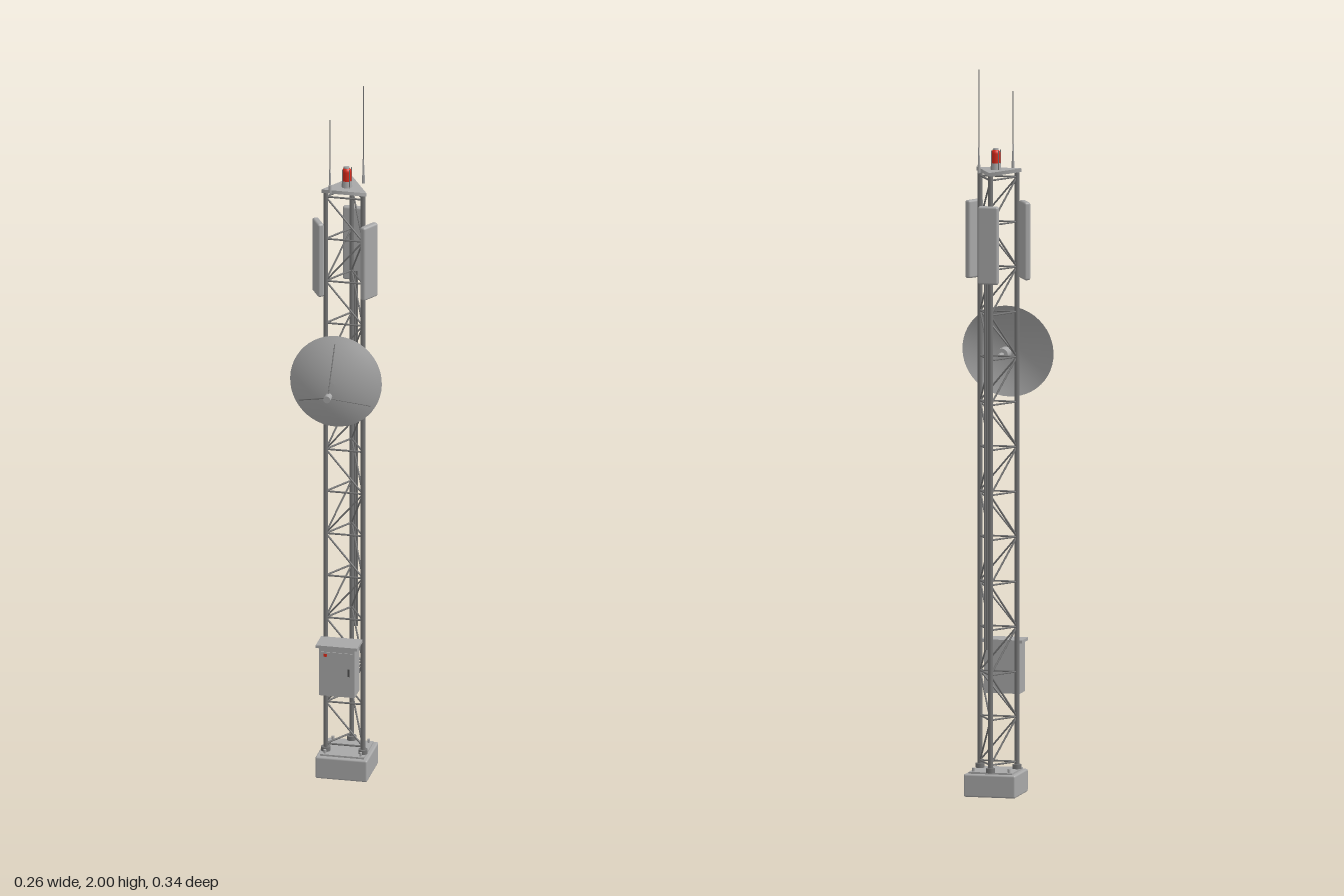
import * as THREE from 'three';
import { RoundedBoxGeometry } from 'three/addons/geometries/RoundedBoxGeometry.js';

const mat = (name, color) => Object.assign(new THREE.MeshStandardMaterial({ color }), { name });

export function createModel() {
  const model = new THREE.Group();
  model.name = 'latticeTower';
  const steel = mat('steel', 0x767676);
  const plate = mat('lightGrey', 0xa8a8a8);
  const dark = mat('darkGrey', 0x505050);
  const red = mat('beaconRed', 0xd82a1a);
  const dishGrey = mat('dishGrey', 0xa6a6a6);
  dishGrey.side = THREE.DoubleSide;

  const V = (x, y, z) => new THREE.Vector3(x, y, z);
  const AXIS_Z = -0.08;

  function add(name, geo, material, x = 0, y = 0, z = 0, parent = model) {
    const m = new THREE.Mesh(geo, material);
    m.name = name;
    m.position.set(x, y, z);
    parent.add(m);
    return m;
  }
  // Round bar between two points
  function bar(name, a, b, r, material, sides = 6, rTop = r) {
    const d = b.clone().sub(a);
    const mid = a.clone().add(b).multiplyScalar(0.5);
    const m = add(name, new THREE.CylinderGeometry(rTop, r, d.length(), sides), material, mid.x, mid.y, mid.z);
    m.quaternion.setFromUnitVectors(V(0, 1, 0), d.normalize());
    return m;
  }
  const box = (w, h, d) => new THREE.BoxGeometry(w, h, d);
  const round = (w, h, d, r) => new RoundedBoxGeometry(w, h, d, 2, r);

  // Foundation block with base plate and anchor bolts
  add('foundation', round(0.145, 0.063, 0.145, 0.005), plate, 0, 0.0315, AXIS_Z);
  add('basePlate', box(0.122, 0.006, 0.122), plate, 0, 0.065, AXIS_Z);
  for (const sx of [-1, 1]) for (const sz of [-1, 1])
    add('anchorBolt', new THREE.CylinderGeometry(0.004, 0.004, 0.012, 8), plate, sx * 0.05, 0.072, AXIS_Z + sz * 0.05);

  // Three legs on a triangle: left, right, back
  const legs = [30, 150, 270].map(a => {
    const t = THREE.MathUtils.degToRad(a);
    return [0.06 * Math.cos(t), AXIS_Z + 0.06 * Math.sin(t)];
  });
  const at = (i, y) => V(legs[i % 3][0], y, legs[i % 3][1]);
  for (let i = 0; i < 3; i++) {
    bar('leg', at(i, 0.066), at(i, 1.715), 0.0065, steel, 12);
    bar('legFoot', at(i, 0.068), at(i, 0.08), 0.013, steel, 12);
  }

  // Lattice of horizontals and zigzag diagonals on each face
  const bays = 13, y0 = 0.088, step = 0.1238;
  for (let k = 0; k <= bays; k++) {
    const y = y0 + k * step;
    for (let i = 0; i < 3; i++) {
      bar('horizontalBrace', at(i, y), at(i + 1, y), 0.0026, steel);
      if (k === bays) continue;
      const up = (k % 2 === 0) === (i === 0);
      bar('diagonalBrace', at(i, up ? y : y + step), at(i + 1, up ? y + step : y), 0.0026, steel);
    }
  }

  // Cable run beside the back leg
  for (let i = 0; i < 2; i++)
    bar('feedCable', V(0.01 + i * 0.006, 0.405, -0.137), V(0.01 + i * 0.006, 1.45, -0.137), 0.003, steel);

  // Triangular top plate
  const top = add('topPlate', new THREE.CylinderGeometry(0.073, 0.073, 0.01, 3), plate, 0, 1.715, AXIS_Z);
  top.rotation.y = Math.PI;

  // Warning beacon with a guard cage
  add('beaconBase', new THREE.CylinderGeometry(0.013, 0.015, 0.018, 20), plate, 0, 1.729, AXIS_Z);
  add('beaconLamp', new THREE.CylinderGeometry(0.0125, 0.0125, 0.026, 20), red, 0, 1.751, AXIS_Z);
  add('beaconDome', new THREE.SphereGeometry(0.0125, 20, 8, 0, Math.PI * 2, 0, Math.PI / 2), red, 0, 1.764, AXIS_Z);
  add('beaconCap', new THREE.CylinderGeometry(0.007, 0.008, 0.006, 16), plate, 0, 1.775, AXIS_Z);
  for (let i = 0; i < 4; i++) {
    const t = Math.PI / 4 + i * Math.PI / 2;
    const x = 0.0145 * Math.cos(t), z = AXIS_Z + 0.0145 * Math.sin(t);
    bar('beaconGuard', V(x, 1.72, z), V(x, 1.773, z), 0.0015, steel);
  }

  // Whip antennas
  for (const [x, z, tip] of [[-0.037, -0.035, 1.93], [0.036, -0.126, 2]]) {
    bar('whipMount', V(x, 1.715, z), V(x, 1.738, z), 0.0045, plate, 10);
    bar('whipCoil', V(x, 1.738, z), V(x, 1.785, z), 0.0028, plate, 8, 0.002);
    bar('whipRod', V(x, 1.785, z), V(x, tip, z), 0.0014, steel);
  }

  // Three sector panels around the mast
  for (let i = 0; i < 3; i++) {
    const sector = add('sectorPanel', round(0.057, 0.215, 0.018, 0.006), plate);
    const a = Math.PI / 3 + i * Math.PI * 2 / 3;
    sector.position.set(0.082 * Math.sin(a), 1.522, AXIS_Z + 0.082 * Math.cos(a));
    sector.rotation.y = a;
  }

  // Dish, bulging forward and tipped slightly upward
  const R = 0.128;
  const profile = [];
  for (let i = 0; i <= 10; i++) {
    const t = i / 10;
    profile.push(new THREE.Vector2(R * t, 0.031 * (1 - t * t)));
  }
  const dish = add('dishReflector', new THREE.LatheGeometry(profile, 48), dishGrey, 0, 1.2005, 0.055);
  dish.rotation.x = Math.PI / 2 - 0.115;

  // Feed horn held by three struts
  const feed = V(0, 1.192, 0.158);
  bar('feedHorn', V(0, 1.192, 0.146), V(0, 1.192, 0.171), 0.01, plate, 16);
  for (const a of [90, 210, 330]) {
    const t = THREE.MathUtils.degToRad(a), r = 0.115;
    bar('feedStrut', V(r * Math.cos(t), 1.2 + r * Math.sin(t), 0.07), feed, 0.0016, steel);
  }

  // Dish mount and radio housing
  bar('dishArm', V(0, 1.2, -0.05), V(0, 1.2, -0.012), 0.0065, plate, 12);
  bar('radioHousing', V(0, 1.2, -0.014), V(0, 1.2, 0.028), 0.017, plate, 24);

  // Equipment cabinet
  add('cabinetBody', box(0.1, 0.14, 0.058), plate, 0, 0.338, 0.016);
  add('cabinetLid', box(0.116, 0.008, 0.068), plate, 0, 0.412, 0.016);
  add('cabinetDoor', box(0.088, 0.124, 0.003), plate, 0, 0.335, 0.0455);
  add('cabinetHandle', box(0.005, 0.022, 0.003), dark, 0.034, 0.341, 0.048);
  add('cabinetLamp', box(0.009, 0.008, 0.003), red, -0.032, 0.388, 0.0475);

  return model;
}
